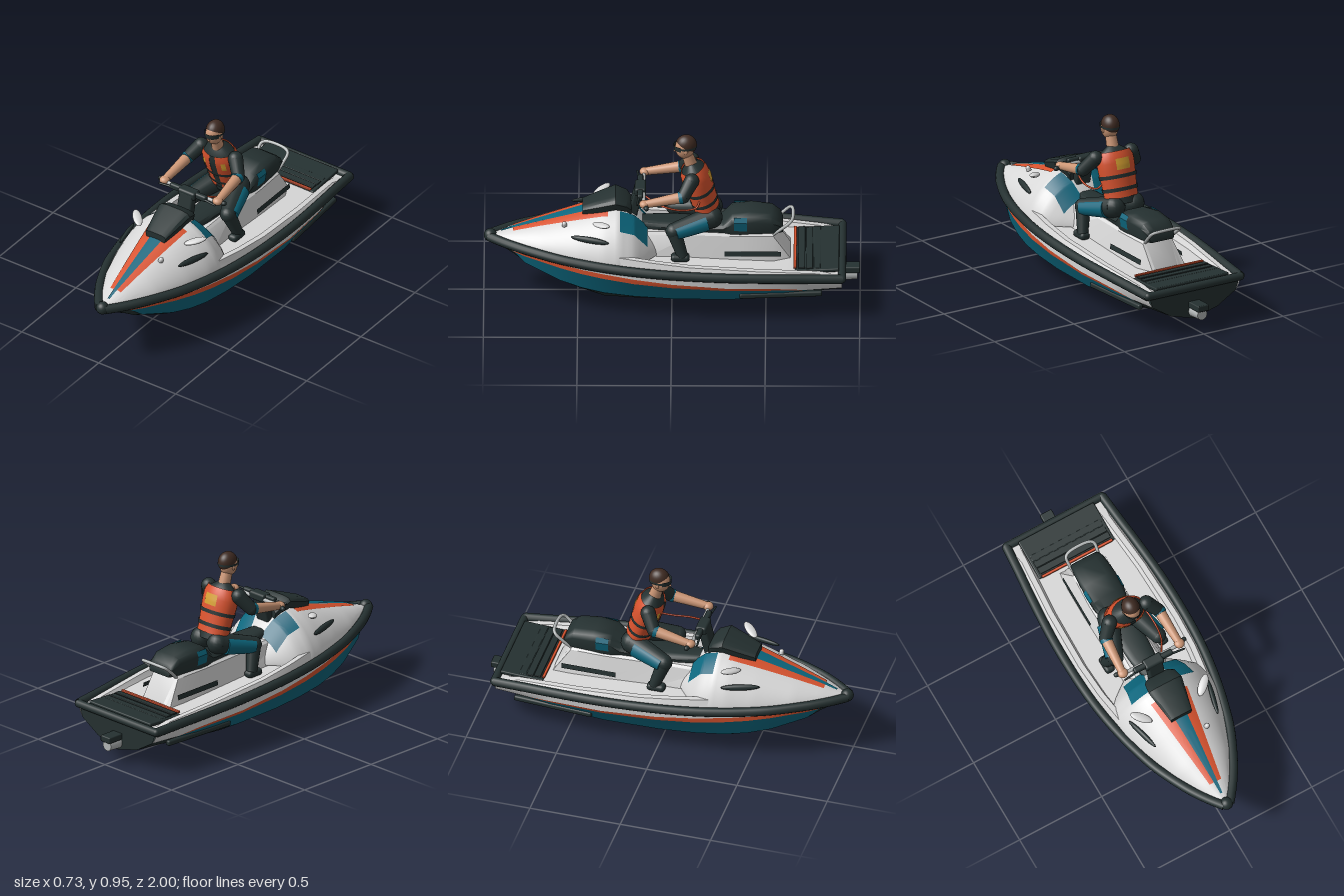
import * as THREE from 'three';
import { toCreasedNormals } from 'three/addons/utils/BufferGeometryUtils.js';
import { RoundedBoxGeometry } from 'three/addons/geometries/RoundedBoxGeometry.js';

const paint = (name, color) => {
  const m = new THREE.MeshStandardMaterial({ color, side: THREE.DoubleSide });
  m.name = name;
  return m;
};
const V = (x, y, z) => new THREE.Vector3(x, y, z);
const lerp = THREE.MathUtils.lerp;

// Linear lookup in a table whose first column is z, descending
function look(table, z, col) {
  let i = 0;
  while (i < table.length - 2 && table[i + 1][0] > z) i++;
  const a = table[i], b = table[i + 1];
  return lerp(a[col], b[col], THREE.MathUtils.clamp((a[0] - z) / (a[0] - b[0]), 0, 1));
}
const steps = (a, b, n) => Array.from({ length: n + 1 }, (_, i) => lerp(a, b, i / n));

// Hull stations: z, gunwale half width, gunwale y, chine half width, chine y, keel y, stripe bottom, stripe top
const HULL = [
  [0.97, 0.012, 0.335, 0.008, 0.32, 0.31, 0, 0],
  [0.9, 0.065, 0.333, 0.058, 0.31, 0.27, 0, 0],
  [0.84, 0.105, 0.332, 0.098, 0.29, 0.235, 0.02, 0.08],
  [0.78, 0.14, 0.33, 0.128, 0.24, 0.2, 0.5, 0.66],
  [0.6, 0.222, 0.32, 0.198, 0.177, 0.105, 0.62, 0.77],
  [0.48, 0.258, 0.312, 0.229, 0.148, 0.05, 0.61, 0.77],
  [0.36, 0.287, 0.305, 0.252, 0.13, 0.002, 0.6, 0.76],
  [0.2, 0.315, 0.297, 0.272, 0.12, 0, 0.56, 0.72],
  [0, 0.333, 0.287, 0.285, 0.113, 0, 0.52, 0.66],
  [-0.3, 0.335, 0.272, 0.287, 0.11, 0, 0.46, 0.58],
  [-0.6, 0.315, 0.257, 0.275, 0.125, 0.028, 0.38, 0.47],
  [-0.72, 0.303, 0.25, 0.27, 0.16, 0.04, 0, 0],
  [-0.905, 0.287, 0.24, 0.262, 0.17, 0.06, 0, 0],
];
// Hood stations: z, half width, crown y
const HOOD = [
  [0.97, 0.01, 0.34], [0.9, 0.058, 0.362], [0.84, 0.095, 0.385], [0.7, 0.17, 0.43], [0.5, 0.243, 0.492],
  [0.36, 0.28, 0.535], [0.28, 0.287, 0.548], [0.2, 0.268, 0.5], [0.14, 0.21, 0.43], [0.08, 0.13, 0.37],
];
function hoodPoint(x, z, lift = 0) {
  const e = look(HULL, z, 2), t = Math.min(1, Math.abs(x) / look(HOOD, z, 1));
  return [x, e + (look(HOOD, z, 2) - e) * Math.pow(1 - t * t, 0.7) + lift, z];
}

export function createModel() {
  const white = paint('gelcoat white', 0xd8d8d8), dark = paint('charcoal', 0x253131);
  const teal = paint('teal', 0x0c677e), orange = paint('orange', 0xd9532e);
  const skin = paint('skin', 0xcc9675), hair = paint('brown hair', 0x3f2b22);
  const yellow = paint('yellow', 0xd6a032), metal = paint('light metal', 0xb4b8b8);
  const model = new THREE.Group();
  model.name = 'watercraft';

  const add = (name, geo, mat, parent = model) => {
    const m = new THREE.Mesh(geo, mat);
    m.name = name;
    parent.add(m);
    return m;
  };
  // Skin through cross-sections, optionally closed at both ends
  const loft = (name, rows, mat, capped = false, crease = 0.6) => {
    const mid = r => r.map(() => [0, 1, 2].map(k => r.reduce((s, p) => s + p[k], 0) / r.length));
    if (capped) rows = [mid(rows[0]), ...rows, mid(rows.at(-1))];
    const n = rows[0].length, index = [];
    for (let i = 0; i < rows.length - 1; i++) for (let j = 0; j < n - 1; j++) {
      const a = i * n + j, b = a + n;
      index.push(a, b, a + 1, a + 1, b, b + 1);
    }
    const g = new THREE.BufferGeometry();
    g.setAttribute('position', new THREE.Float32BufferAttribute(rows.flat(2), 3));
    g.setIndex(index);
    return add(name, toCreasedNormals(g, crease), mat);
  };
  const limb = (name, a, b, ra, rb, mat, ball = true) => {
    const d = b.clone().sub(a), m = add(name, new THREE.CylinderGeometry(rb, ra, d.length(), 16), mat);
    m.position.copy(a).addScaledVector(d, 0.5);
    m.quaternion.setFromUnitVectors(V(0, 1, 0), d.normalize());
    if (ball) add(name + 'Joint', new THREE.SphereGeometry(rb, 16, 12), mat).position.copy(b);
    return m;
  };
  const tube = (name, pts, r, mat) =>
    add(name, new THREE.TubeGeometry(new THREE.CatmullRomCurve3(pts, false, 'centripetal'), 60, r, 12), mat);
  const box = (name, w, h, d, r, mat, x, y, z, rx = 0) => {
    const m = add(name, new RoundedBoxGeometry(w, h, d, 2, r), mat);
    m.position.set(x, y, z);
    m.rotation.x = rx;
    return m;
  };
  // Padded section used by the seat and the console: z, half width, top, bottom
  const pad = ([z, w, t, b]) => [[-w * 0.9, b, z], [-w, lerp(b, t, 0.65), z], [-w * 0.85, lerp(b, t, 0.9), z], [-w * 0.5, t, z],
    [w * 0.5, t, z], [w * 0.85, lerp(b, t, 0.9), z], [w, lerp(b, t, 0.65), z], [w * 0.9, b, z], [-w * 0.9, b, z]];

  // Hull bottom, coloured side bands and transom
  const bottom = HULL.map(([z, , , w, c, k]) => [[-w, c, z], [-w * 0.56, lerp(k, c, 0.36), z], [0, k, z], [w * 0.56, lerp(k, c, 0.36), z], [w, c, z]]);
  loft('hullBottom', bottom, dark, false, 0.3);
  for (const s of [1, -1]) {
    const wall = ([z, wg, yg, wc, yc], f) => [s * lerp(wc, wg, Math.min(1, f * 1.7)), lerp(yc, yg, f), z];
    const band = (name, f0, f1, mat) => loft(name, HULL.map(r => [0, 0.5, 1].map(k => wall(r, lerp(f0(r), f1(r), k)))), mat);
    band('hullSideTeal', () => 0, r => r[6], teal);
    band('hullSideOrange', r => r[6], r => r[7], orange);
    band('hullSideWhite', r => r[7], () => 1, white);
  }
  const [tz, tw, ty] = HULL.at(-1);
  const stern = [[-tw, ty, tz], ...bottom.at(-1), [tw, ty, tz]];
  loft('transom', [stern, stern.map(() => [0, ty, tz])], dark);

  // Deck, bumper with square stern corners, and bow cap
  loft('deck', HULL.slice(4).map(([z, w, y]) => [[-w, y - 0.005, z], [w, y - 0.005, z]]), white);
  for (const s of [1, -1]) tube('bumper', HULL.map(([z, w, y]) => V(s * (w + 0.005), y, z)), 0.025, dark);
  const corner = V(tw + 0.003, ty, tz);
  limb('sternBumper', V(-corner.x, ty, tz), corner, 0.022, 0.022, dark);
  add('sternCorner', new THREE.SphereGeometry(0.022, 16, 12), dark).position.set(-corner.x, ty, tz);
  add('bowCap', new THREE.SphereGeometry(0.035, 20, 14), dark).position.set(0, 0.337, 0.965);

  // Hood with its painted stripes
  loft('hood', steps(0.97, 0.08, 40).map(z => steps(-1, 1, 28).map(k => hoodPoint(Math.sin(k * Math.PI / 2) * look(HOOD, z, 1), z))), white, false, 1);
  const decal = (name, z0, z1, xa, xb, mat, lift = 0.005) => loft(name, steps(z0, z1, 24).map(z => {
    const k = (z0 - z) / (z0 - z1);
    return steps(0, 1, 6).map(u => hoodPoint(lerp(xa(k), xb(k), u), z, lift));
  }), mat, false, 1);
  decal('hoodCentreStripe', 0.91, 0.36, k => -0.006 - 0.038 * k, k => 0.006 + 0.038 * k, teal, 0.007);
  for (const s of [1, -1]) {
    decal('hoodSideStripe', 0.845, 0.34, k => s * (0.008 + 0.034 * k), k => s * (0.035 + 0.075 * k), orange);
    decal('hoodRearPatch', 0.275, 0.13, k => s * lerp(0.085, 0.04, k), k => s * lerp(0.19, 0.16, k), teal);
  }

  // Raised rails beside the footwells
  for (const s of [1, -1]) {
    loft('footwellRail', [[0.42, 0.02], [0.32, 0.06], [0.1, 0.05], [-0.1, 0.038], [-0.45, 0.028], [-0.78, 0.018], [-0.86, 0.002]].map(([z, h]) => {
      const w = look(HULL, z, 1), y = look(HULL, z, 2) - 0.005;
      return [[w - 0.012, y], [w - 0.03, y + h], [w - 0.06, y + h], [w - 0.075, y]].map(([x, v]) => [s * x, v, z]);
    }), white, true);
  }

  // Seat pedestal and seat
  loft('seatPedestal', [[0.2, 0.1, 0.15, 0.41], [-0.1, 0.095, 0.135, 0.405], [-0.35, 0.1, 0.135, 0.4], [-0.54, 0.09, 0.13, 0.395], [-0.63, 0.085, 0.12, 0.26]]
    .map(([z, a, b, y]) => [[-b, 0.25, z], [-a, y - 0.012, z], [-a + 0.015, y, z], [a - 0.015, y, z], [a, y - 0.012, z], [b, 0.25, z]]), white, true);
  loft('seat', [[0.17, 0.05, 0.45, 0.39], [0.05, 0.07, 0.445, 0.39], [-0.12, 0.08, 0.435, 0.39], [-0.27, 0.09, 0.445, 0.39], [-0.32, 0.1, 0.5, 0.39],
    [-0.42, 0.102, 0.512, 0.4], [-0.53, 0.095, 0.5, 0.4], [-0.575, 0.085, 0.465, 0.4], [-0.59, 0.075, 0.42, 0.4]].map(pad), dark, true, 0.8);
  for (const s of [1, -1]) {
    loft('seatSidePanel', [[-0.33, 0.104], [-0.4, 0.106]].map(([z, x]) => [[s * (x - 0.008), 0.42, z], [s * x, 0.472, z], [s * (x - 0.014), 0.498, z]]), teal);
    loft('pedestalPad', [-0.28, -0.58].map(z => [[s * 0.133, 0.285, z], [s * 0.127, 0.312, z]]), dark);
  }
  const hoop = [[0.075, 0.39, -0.54], [0.085, 0.43, -0.585], [0.085, 0.465, -0.625], [0.06, 0.475, -0.64]];
  tube('grabRail', [...hoop.map(p => V(...p)), ...hoop.map(([x, y, z]) => V(-x, y, z)).reverse()], 0.009, metal);

  // Ribbed rear platform
  box('rearPlatform', 0.46, 0.02, 0.235, 0.006, dark, 0, 0.252, -0.772, 0.06);
  for (let i = 0; i < 5; i++) box('platformRib', 0.43, 0.008, 0.037, 0.003, dark, 0, 0.264 - i * 0.0024, -0.69 - i * 0.041, 0.06);
  box('platformStripe', 0.43, 0.012, 0.016, 0.004, orange, 0, 0.264, -0.655);

  // Jet nozzle and sponsons
  const nozzle = add('jetNozzle', new THREE.CylinderGeometry(0.03, 0.036, 0.09, 20), metal);
  nozzle.position.set(0, 0.105, -0.94);
  nozzle.rotation.x = -Math.PI / 2;
  box('nozzleBracket', 0.07, 0.035, 0.1, 0.006, dark, 0, 0.143, -0.95);
  for (const s of [1, -1]) box('sponson', 0.03, 0.03, 0.44, 0.01, dark, s * 0.283, 0.142, -0.58).rotation.y = s * 0.07;

  // Console, steering column and handlebar
  loft('console', [[0.475, 0.065, 0.54, 0.5], [0.38, 0.085, 0.578, 0.52], [0.3, 0.1, 0.606, 0.545], [0.24, 0.09, 0.58, 0.53], [0.215, 0.07, 0.55, 0.5]].map(pad), dark, true);
  box('steeringColumn', 0.09, 0.19, 0.05, 0.012, dark, 0, 0.545, 0.195, -0.25);
  box('handlebarPad', 0.11, 0.045, 0.06, 0.012, dark, 0, 0.63, 0.168);
  box('controlBar', 0.235, 0.034, 0.03, 0.01, dark, 0, 0.633, 0.168);
  limb('handlebar', V(-0.17, 0.625, 0.15), V(0.17, 0.625, 0.15), 0.01, 0.01, metal);
  for (const s of [1, -1]) {
    limb('grip', V(s * 0.17, 0.624, 0.145), V(s * 0.207, 0.622, 0.135), 0.013, 0.013, dark);
    limb('brakeLever', V(s * 0.09, 0.63, 0.175), V(s * 0.18, 0.628, 0.185), 0.007, 0.005, dark);
    // Mirrors and hood vents
    const mirror = add('mirror', new THREE.SphereGeometry(1, 20, 12), white);
    mirror.scale.set(0.025, 0.013, 0.062);
    mirror.position.set(s * 0.188, 0.508, 0.375);
    mirror.rotation.set(0.2, -s * 0.8, 0, 'YXZ');
    const vent = add('hoodVent', new THREE.SphereGeometry(1, 16, 10), dark);
    vent.scale.set(0.013, 0.017, 0.105);
    vent.position.set(s * 0.215, 0.432, 0.435);
    vent.rotation.set(-0.05, -s * 0.25, s * 0.4, 'YXZ');
  }
  limb('fillerCap', V(0.1, 0.455, 0.57), V(0.104, 0.468, 0.572), 0.014, 0.013, white);
  tube('lanyard', [V(0.06, 0.62, 0.15), V(0.11, 0.585, 0.06), V(0.125, 0.565, -0.04), V(0.115, 0.575, -0.13), V(0.09, 0.61, -0.15)], 0.005, orange);

  // Rider torso and life vest, turned around a leaning axis
  const torso = new THREE.Group();
  torso.name = 'riderTorso';
  torso.position.set(0, 0.49, -0.195);
  torso.rotation.x = 0.31;
  torso.scale.z = 0.72;
  model.add(torso);
  const body = [[0.09, 0], [0.088, 0.06], [0.094, 0.14], [0.1, 0.21], [0.096, 0.26], [0.075, 0.295], [0.03, 0.315]];
  const lathe = (name, y0, y1, lift, mid, arc, mat) => {
    const radii = body.map(([r, y]) => [-y, r]);
    const pts = steps(y0, y1, 8).map(y => new THREE.Vector2(look(radii, -y, 1) + lift, y));
    return add(name, new THREE.LatheGeometry(pts, 28, mid - arc / 2, arc), mat, torso);
  };
  lathe('shirt', 0, 0.315, 0, 0, Math.PI * 2, dark);
  lathe('vest', 0.035, 0.285, 0.009, Math.PI, Math.PI * 2 - 0.36, orange);
  lathe('vestZipPanel', 0.035, 0.285, 0.008, 0, 0.36, dark);
  for (const y of [0.07, 0.14]) lathe('vestStrap', y, y + 0.02, 0.014, 0, Math.PI * 2, dark);
  for (const a of [0.6, -0.6]) lathe('vestFrontPatch', 0.195, 0.25, 0.013, a, 0.25, yellow);
  lathe('vestBackPatch', 0.185, 0.245, 0.013, Math.PI, 0.75, yellow);

  // Arms and legs
  for (const s of [1, -1]) {
    const shoulder = V(s * 0.112, 0.738, -0.105), elbow = V(s * 0.162, 0.668, -0.06), hand = V(s * 0.172, 0.632, 0.13);
    add('shoulder', new THREE.SphereGeometry(0.041, 16, 12), dark).position.copy(shoulder);
    limb('sleeve', shoulder, elbow, 0.041, 0.035, dark);
    limb('sleeveCuff', elbow.clone().lerp(hand, 0.02), elbow.clone().lerp(hand, 0.12), 0.036, 0.034, teal, false);
    limb('forearm', elbow, hand, 0.032, 0.022, skin);
    const fist = add('hand', new THREE.SphereGeometry(0.029, 16, 12), skin);
    fist.scale.set(1, 0.75, 1);
    fist.position.set(s * 0.172, 0.63, 0.145);
    const hip = V(s * 0.06, 0.485, -0.21), knee = V(s * 0.13, 0.44, -0.01), ankle = V(s * 0.16, 0.31, -0.055);
    add('hip', new THREE.SphereGeometry(0.06, 16, 12), dark).position.copy(hip);
    limb('thigh', hip, knee, 0.06, 0.044, dark);
    // Coloured outer thigh panel, set into the leg
    const out = V(s * 0.016, -0.006, 0);
    limb('thighPanel', hip.clone().lerp(knee, 0.15).add(out), hip.clone().lerp(knee, 0.95).add(out), 0.052, 0.039, teal, false);
    limb('shin', knee, ankle, 0.041, 0.03, dark);
    box('boot', 0.055, 0.04, 0.1, 0.018, dark, s * 0.162, 0.297, -0.045);
  }

  // Head, hair and goggles
  limb('neck', V(0, 0.765, -0.105), V(0, 0.85, -0.078), 0.034, 0.03, skin);
  const oval = (name, r, sy, sz, y, z, mat, ...arc) => {
    const m = add(name, new THREE.SphereGeometry(r, 24, 18, ...arc), mat);
    m.scale.set(1, sy, sz);
    m.position.set(0, y, z);
    return m;
  };
  oval('head', 0.045, 1.42, 1.15, 0.88, -0.068, skin);
  oval('hair', 0.048, 1.22, 1.18, 0.896, -0.075, hair, 0, Math.PI * 2, 0, 1.6).rotation.x = -0.5;
  const lens = add('goggles', new THREE.CylinderGeometry(0.05, 0.048, 0.028, 24, 1, true, -1.2, 2.4), dark);
  lens.scale.z = 1.2;
  lens.position.set(0, 0.888, -0.068);
  const strap = add('goggleStrap', new THREE.CylinderGeometry(0.05, 0.05, 0.012, 28, 1, true), dark);
  strap.scale.z = 1.2;
  strap.position.set(0, 0.89, -0.072);
  for (const s of [1, -1]) {
    const ear = add('ear', new THREE.SphereGeometry(0.01, 10, 8), skin);
    ear.scale.set(0.5, 1.4, 1);
    ear.position.set(s * 0.045, 0.873, -0.075);
  }
  add('nose', new THREE.ConeGeometry(0.008, 0.022, 8), skin).position.set(0, 0.87, -0.016);
  return model;
}
